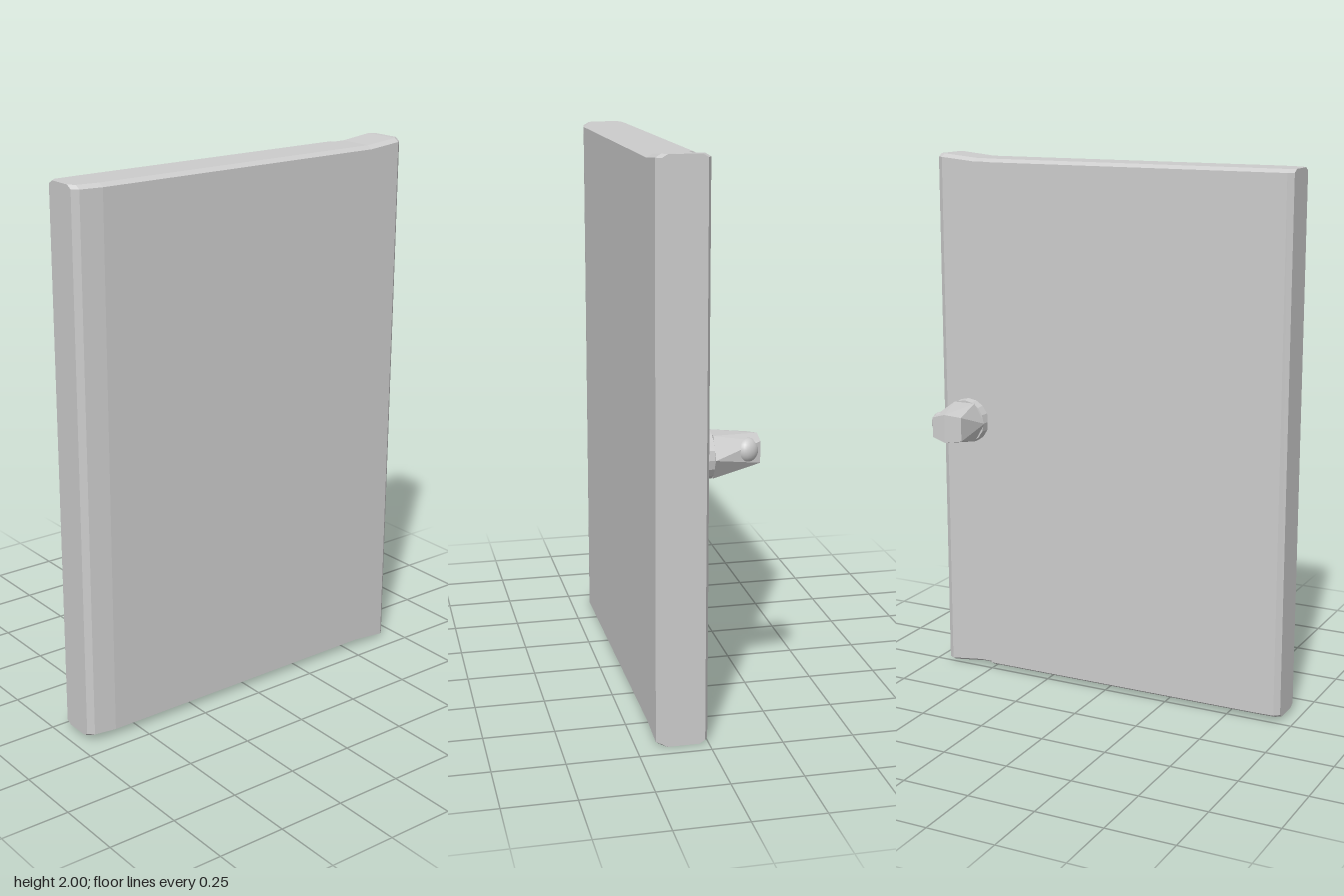
import * as THREE from 'three';
import { ConvexGeometry } from 'three/addons/geometries/ConvexGeometry.js';

const grey = new THREE.MeshStandardMaterial({ color: 0xcccccc, flatShading: true });
const smooth = new THREE.MeshStandardMaterial({ color: 0xcccccc });

// Bevelled slab lofted along z; each row is [z, left x, right x, end inset]
function slabGeometry() {
  const rows = [
    [-0.70, 0.012, 0.163, 0],
    [-0.68, 0.000, 0.180, 0],
    [-0.55, 0.008, 0.180, 0.013],
    [-0.50, 0.008, 0.180, 0.013],
    [-0.50, -0.005, 0.180, 0.013],
    [0.60, 0.002, 0.185, 0.013],
    [0.68, 0.005, 0.172, 0.013],
    [0.70, 0.022, 0.152, 0.013],
  ];
  const bevel = 0.012, inset = 0.02;
  const rings = rows.map(([z, l, r, e]) => {
    const b = e, t = 2 - e;
    return [
      [r, b + bevel], [r, t - bevel], [r - inset, t], [l + inset, t],
      [l, t - bevel], [l, b + bevel], [l + inset, b], [r - inset, b],
    ].map(([x, y]) => [x, y, z]);
  });
  const pos = [];
  const tri = (a, b, c) => pos.push(...a, ...b, ...c);
  for (let k = 0; k < rings.length - 1; k++) {
    for (let i = 0; i < 8; i++) {
      const j = (i + 1) % 8, p = rings[k], q = rings[k + 1];
      tri(p[i], p[j], q[j]);
      tri(p[i], q[j], q[i]);
    }
  }
  // flat front and back edges
  const back = rings[0], front = rings[rings.length - 1];
  for (let i = 1; i < 7; i++) {
    tri(front[0], front[i], front[i + 1]);
    tri(back[0], back[i + 1], back[i]);
  }
  const g = new THREE.BufferGeometry();
  g.setAttribute('position', new THREE.Float32BufferAttribute(pos, 3));
  g.computeVertexNormals();
  return g;
}

// Faceted handle: wide six-sided base tapering to a skewed end
function handleGeometry() {
  const pts = [];
  for (let i = 0; i < 6; i++) {
    const a = (i / 6) * Math.PI * 2;
    pts.push(new THREE.Vector3(-0.025, 0.995 + 0.085 * Math.sin(a), -0.588 + 0.087 * Math.cos(a)));
  }
  const end = [
    [-0.19, 1.055, -0.575], [-0.19, 0.948, -0.575],
    [-0.168, 1.045, -0.516], [-0.168, 0.955, -0.516],
    [-0.188, 1.04, -0.628], [-0.188, 0.965, -0.628],
  ];
  end.forEach((p) => pts.push(new THREE.Vector3(...p)));
  return new ConvexGeometry(pts);
}

export function createModel() {
  const model = new THREE.Group();
  const add = (parent, name, geometry, material) => {
    const m = new THREE.Mesh(geometry, material);
    m.name = name;
    parent.add(m);
    return m;
  };

  add(model, 'doorSlab', slabGeometry(), grey);

  const knob = new THREE.Group();
  knob.name = 'doorKnob';
  model.add(knob);

  // round plate against the door
  const plate = add(knob, 'knobPlate', new THREE.CylinderGeometry(0.082, 0.086, 0.035, 16), grey);
  plate.rotation.z = Math.PI / 2;
  plate.position.set(-0.006, 0.995, -0.588);

  add(knob, 'knobHandle', handleGeometry(), grey);

  // rounded button on the back corner of the handle
  const button = add(knob, 'knobButton', new THREE.SphereGeometry(0.042, 20, 14), smooth);
  button.scale.set(1, 1, 0.75);
  button.rotation.y = Math.PI / 6;
  button.position.set(-0.145, 1.01, -0.622);

  return model;
}
